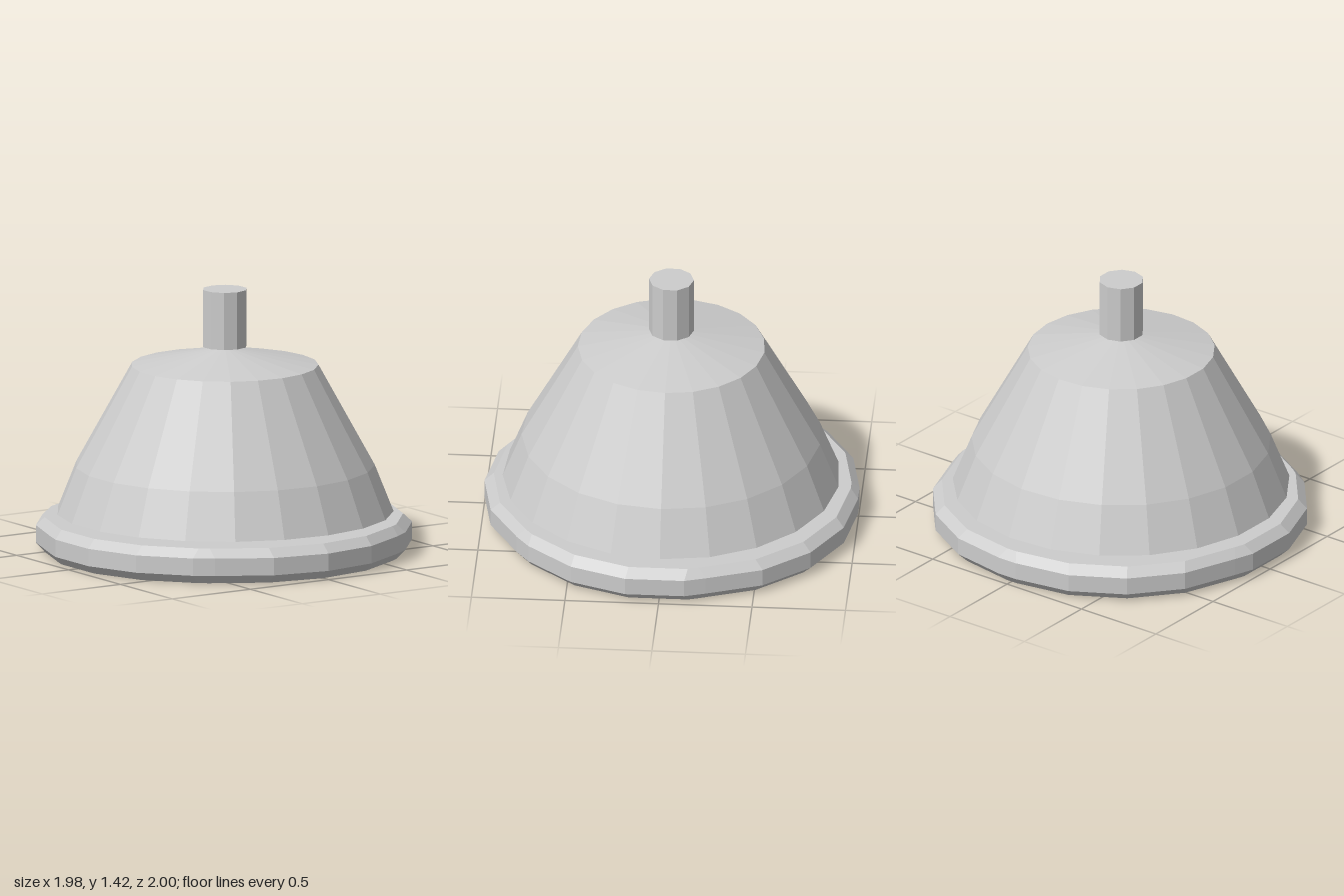
import * as THREE from 'three';
import { ConvexGeometry } from 'three/addons/geometries/ConvexGeometry.js';

const TAU = Math.PI * 2;

// Separate the faces so every facet has its own flat normal
function faceted(geometry) {
  const flat = geometry.index ? geometry.toNonIndexed() : geometry;
  flat.computeVertexNormals();
  return flat;
}

// Regular polygon swept round by a small pentagon, giving a blunted outline
function bluntRing(y, radius, sides, round) {
  const points = [];
  for (let i = 0; i < sides; i++) {
    const a = (i / sides) * TAU;
    for (let j = 0; j < 5; j++) {
      const b = (j / 5) * TAU;
      points.push(new THREE.Vector3(
        radius * Math.sin(a) + round * Math.sin(b),
        y,
        radius * Math.cos(a) + round * Math.cos(b) - 0.01
      ));
    }
  }
  return points;
}

export function createModel() {
  const model = new THREE.Group();
  const lightGrey = new THREE.MeshStandardMaterial({ color: 0xcccccc });
  lightGrey.name = 'lightGrey';

  const add = (name, geometry) => {
    const mesh = new THREE.Mesh(faceted(geometry), lightGrey);
    mesh.name = name;
    model.add(mesh);
    return mesh;
  };

  // Base disc with bevelled rims
  const levels = [[0, 0.05], [0.047, 0.1], [0.141, 0.1], [0.188, 0.05]];
  add('baseDisc', new ConvexGeometry(
    levels.flatMap(([y, round]) => bluntRing(y, 0.91, 18, round))
  ));

  // Tapered body with shallow cones closing the top and underside
  const profile = [[0, 0.19], [0.9, 0.217], [0.8, 0.468], [0.5, 1.01], [0, 1.11]]
    .map(([r, y]) => new THREE.Vector2(r, y));
  add('body', new THREE.LatheGeometry(profile, 21, Math.PI / 2));

  // Stem on top
  add('stem', new THREE.CylinderGeometry(0.12, 0.12, 0.31, 10)).position.y = 1.265;

  return model;
}
